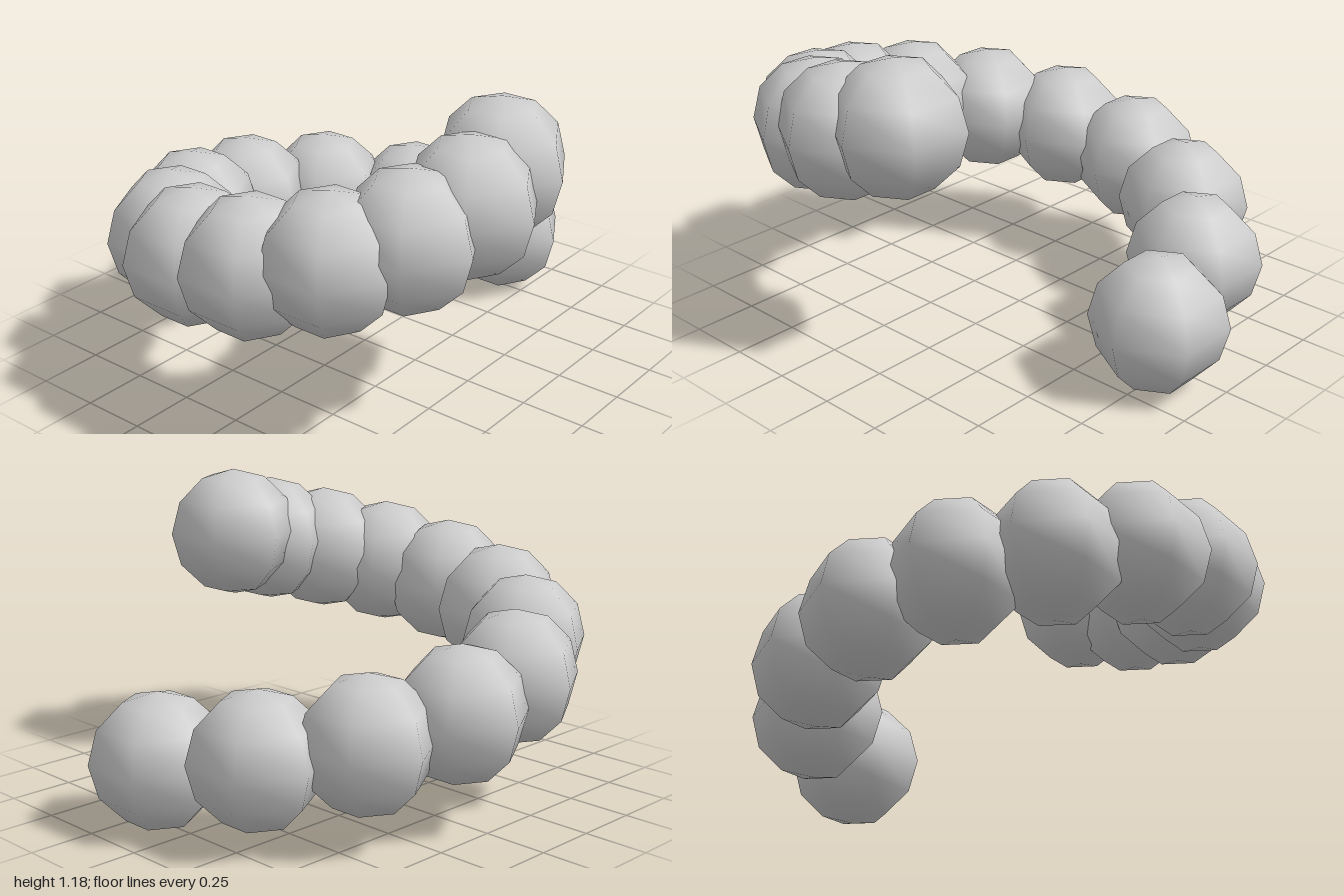
import * as THREE from 'three';

// Rising open coil of overlapping low-poly beads
const RADIUS = 0.255;
const START_Y = 0.255;
const RISE = 0.0605;

// Bead centres seen from above, [x, z], from the lowest to the highest
const PATH = [
  [0.78, 0.125], [0.65, -0.255], [0.39, -0.53], [0.045, -0.655],
  [-0.3, -0.615], [-0.58, -0.44], [-0.75, -0.17], [-0.78, 0.13],
  [-0.68, 0.395], [-0.485, 0.575], [-0.245, 0.65], [-0.01, 0.61],
];

export function createModel() {
  const group = new THREE.Group();
  group.name = 'beadCoil';
  const material = new THREE.MeshStandardMaterial({ color: 0xcccccc });

  // Six-sided smooth sphere with a corner pointing to the front
  const beadGeometry = new THREE.SphereGeometry(RADIUS, 6, 6);
  beadGeometry.rotateY(Math.PI / 2);

  PATH.forEach(([x, z], i) => {
    const bead = new THREE.Mesh(beadGeometry, material);
    bead.name = `bead${i + 1}`;
    bead.position.set(x, START_Y + i * RISE, z);
    group.add(bead);
  });
  return group;
}
